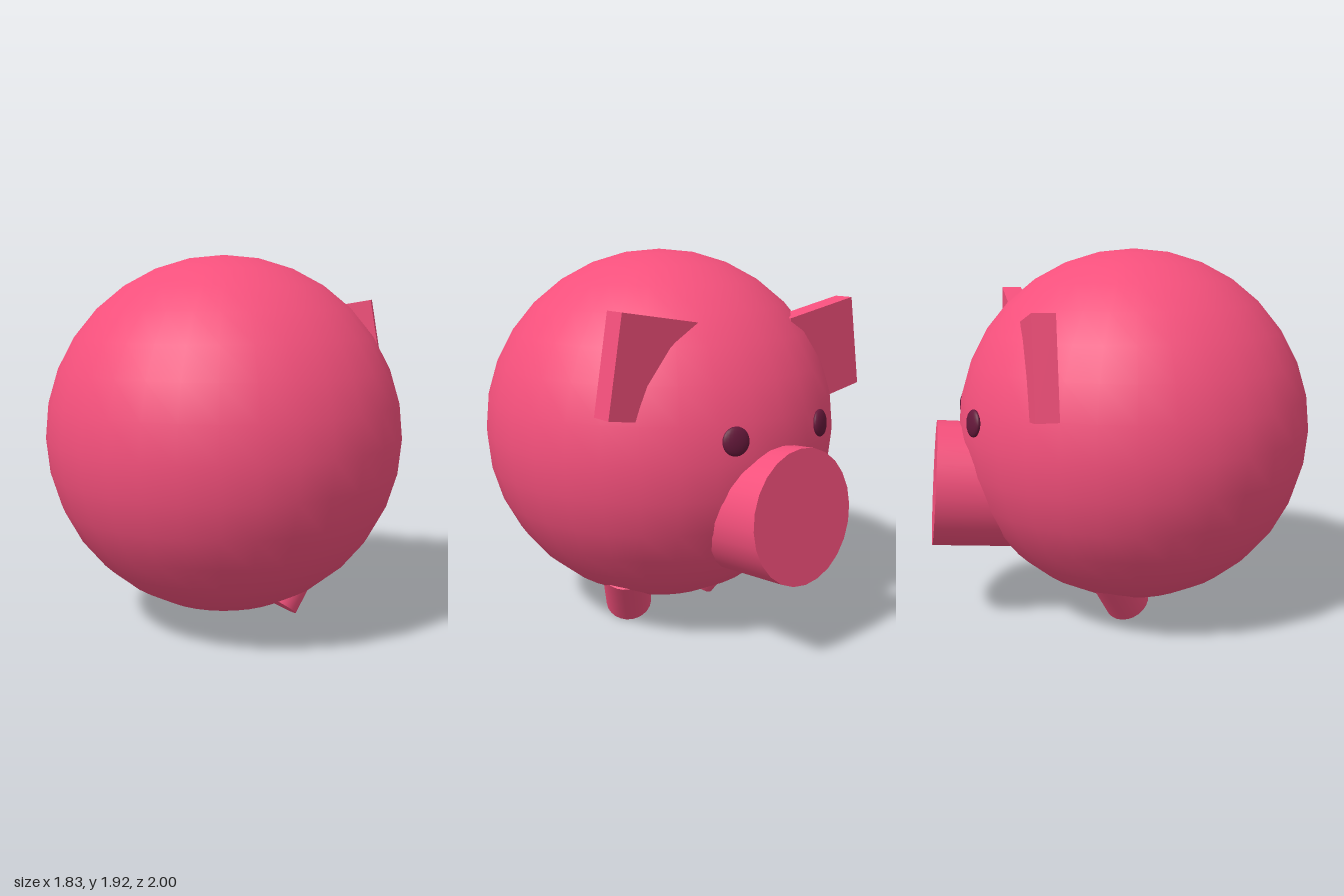
import * as THREE from 'three';

const BODY = new THREE.Vector3(0, 1.005, 0.08);
const RADIUS = 0.917;
const UP = new THREE.Vector3(0, 1, 0);

export function createModel() {
  const group = new THREE.Group();
  const pink = new THREE.MeshStandardMaterial({ color: 0xf5507c });
  const dark = new THREE.MeshStandardMaterial({ color: 0x64183a });

  const add = (name, geometry, material, x, y, z) => {
    const mesh = new THREE.Mesh(geometry, material);
    mesh.name = name;
    mesh.position.set(x, y, z);
    group.add(mesh);
    return mesh;
  };

  // Cylinder whose end cap is centred on `end`, running back along `axis` into the body
  const peg = (name, end, axis, radius, length) => {
    const dir = new THREE.Vector3(...axis).normalize();
    const mid = new THREE.Vector3(...end).addScaledVector(dir, length / 2);
    const mesh = add(name, new THREE.CylinderGeometry(radius, radius, length, 24), pink, mid.x, mid.y, mid.z);
    mesh.quaternion.setFromUnitVectors(UP, dir);
  };

  // Round body
  add('body', new THREE.SphereGeometry(RADIUS, 32, 16), pink, BODY.x, BODY.y, BODY.z);

  // Snout, tipped slightly upward
  peg('snout', [0.005, 0.737, -0.972], [0, -0.085, 0.996], 0.324, 0.6);

  // Square slab ears, tilted outward
  const ear = new THREE.BoxGeometry(0.47, 0.47, 0.107);
  add('leftEar', ear, pink, 0.519, 1.419, -0.485).rotation.z = 0.17;
  add('rightEar', ear, pink, -0.604, 1.4, -0.49).rotation.z = -0.17;

  // Flattened eyes lying on the body surface
  for (const [name, x] of [['leftEye', 0.27], ['rightEye', -0.31]]) {
    const dy = 0.1;
    const z = BODY.z - Math.sqrt(RADIUS ** 2 - x * x - dy * dy);
    const eye = add(name, new THREE.SphereGeometry(0.068, 20, 12), dark, x, BODY.y + dy, z);
    eye.scale.z = 0.35;
    eye.lookAt(new THREE.Vector3(x, BODY.y + dy, z).multiplyScalar(2).sub(BODY));
  }

  // Stubby feet, mostly sunk into the belly
  peg('leftFoot', [0.272, 0.076, 0.012], [0.4, 0.82, -0.44], 0.12, 0.3);
  peg('rightFoot', [-0.198, 0.086, 0.005], [-0.45, 0.8, -0.42], 0.12, 0.3);

  return group;
}
